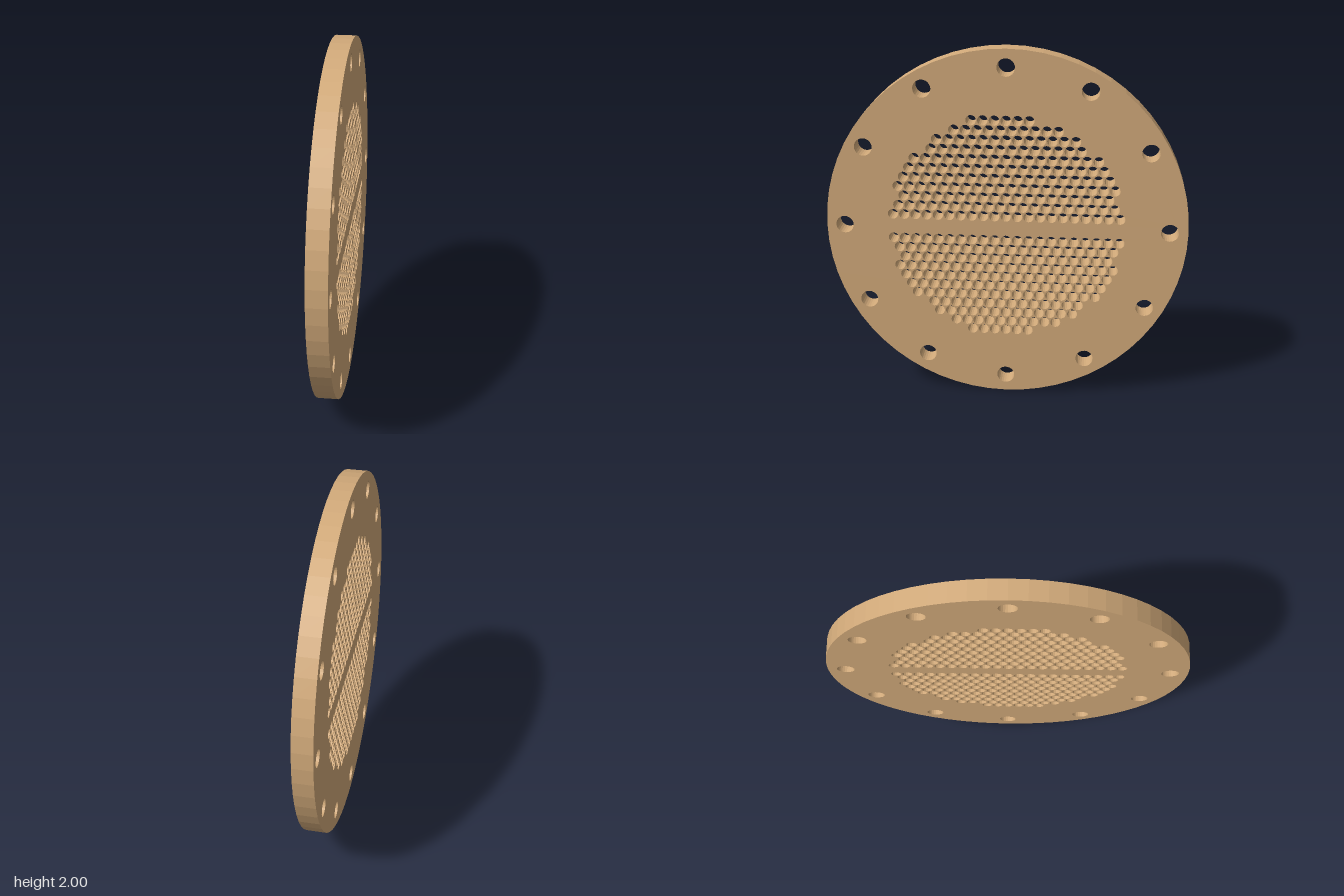
import * as THREE from 'three';

const THICKNESS = 0.112;
const PITCH = 0.0627;                      // triangular tube pitch
const ROW_STEP = PITCH * Math.sqrt(3) / 2;
const ROWS = 11;
const FIRST_ROW = 0.0695;                  // half of the solid centre lane
const BUNDLE_RADIUS = 0.646;

// Points of a circle, counter-clockwise
function circle(cx, cy, r, sides) {
  return Array.from({ length: sides }, (_, i) => {
    const a = (i / sides) * Math.PI * 2;
    return new THREE.Vector2(cx + r * Math.cos(a), cy + r * Math.sin(a));
  });
}

export function createModel() {
  const group = new THREE.Group();
  group.name = 'tubeSheet';

  // Disc outline
  const disc = new THREE.Shape(circle(0, 0, 1, 64));
  const drill = (x, y, r, sides) => disc.holes.push(new THREE.Path(circle(x, y, r, sides)));

  // Ring of bolt holes
  for (let i = 0; i < 12; i++) {
    const a = (i / 12) * Math.PI * 2;
    drill(0.9 * Math.cos(a), 0.9 * Math.sin(a), 0.049, 24);
  }

  // Two mirrored fields of staggered tube holes
  for (const side of [1, -1]) {
    for (let row = 0; row < ROWS; row++) {
      const y = FIRST_ROW + row * ROW_STEP;
      const shift = row % 2 ? 0.5 : 0;
      for (let k = -11; k <= 11; k++) {
        const x = (k + shift) * PITCH;
        if (Math.hypot(x, y) > BUNDLE_RADIUS) continue;
        if (row === ROWS - 1 && k === 3) continue; // outermost row is one hole short
        drill(x, side * y, 0.0285, 16);
      }
    }
  }

  // Plate turned so that its axis runs along x
  const geometry = new THREE.ExtrudeGeometry(disc, { depth: THICKNESS, bevelEnabled: false });
  geometry.translate(0, 0, -THICKNESS / 2);
  geometry.rotateY(Math.PI / 2);
  geometry.translate(0, 1, 0);

  const plate = new THREE.Mesh(geometry, new THREE.MeshStandardMaterial({ color: 0xd2aa7a }));
  plate.name = 'perforatedPlate';
  group.add(plate);
  return group;
}
